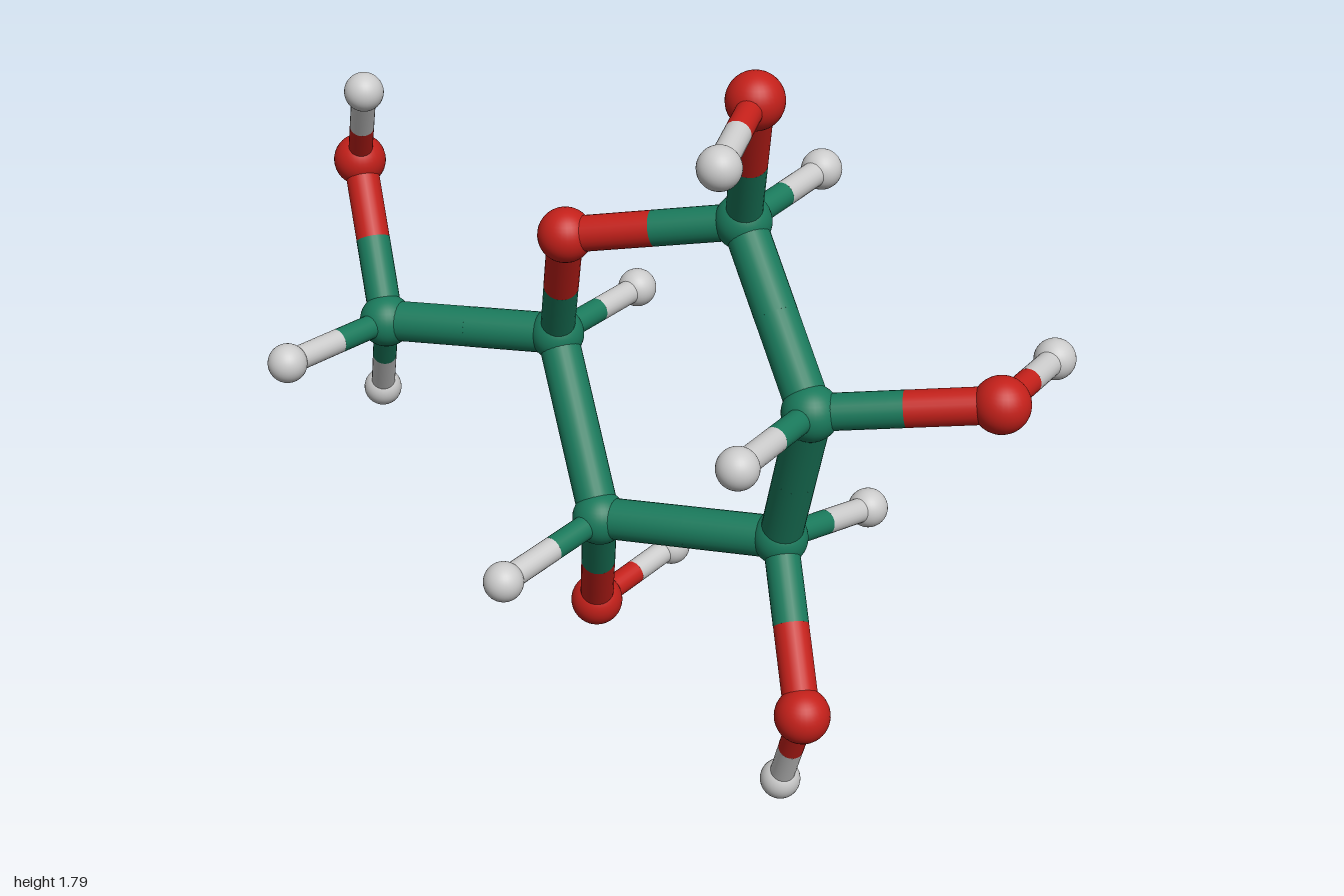
import * as THREE from 'three';

const KINDS = {
  C: { name: 'carbon', radius: 0.066, color: 0x1a7a5c },
  O: { name: 'oxygen', radius: 0.065, color: 0xc4201a },
  H: { name: 'hydrogen', radius: 0.048, color: 0xcccccc },
};

// Atom centres; the first letter of each key is the element
const ATOMS = {
  C1: [0.265, 1.36, -0.075], C2: [0.565, 1.03, 0.065], C3: [0.41, 0.61, -0.05],
  C4: [-0.035, 0.56, 0.075], C5: [-0.29, 0.92, -0.07], C6: [-0.72, 0.885, 0.085],
  O1: [0.41, 1.725, 0.085], O2: [0.93, 1.09, -0.13], O3: [0.63, 0.31, 0.15],
  O4: [-0.19, 0.195, -0.095], O5: [-0.125, 1.275, 0.085], O6: [-0.93, 1.22, -0.055],
  H1: [0.25, 1.385, -0.395], H2: [0.608, 1.037, 0.385], H3: [0.435, 0.56, -0.375],
  H4: [-0.05, 0.525, 0.405], H5: [-0.3, 0.93, -0.39],
  H6a: [-0.73, 0.885, 0.415], H6b: [-0.865, 0.61, -0.035],
  HO1: [0.52, 1.68, 0.35], HO2: [0.888, 1.08, -0.42], HO3: [0.52, 0.05, 0.075],
  HO4: [-0.18, 0.227, -0.385], HO6: [-0.795, 1.46, 0.052],
};

const BONDS = [
  // ring and side carbon
  'C1 C2', 'C2 C3', 'C3 C4', 'C4 C5', 'C5 C6', 'C5 O5', 'C1 O5',
  // hydroxyl groups
  'C1 O1', 'C2 O2', 'C3 O3', 'C4 O4', 'C6 O6',
  'O1 HO1', 'O2 HO2', 'O3 HO3', 'O4 HO4', 'O6 HO6',
  // hydrogens on carbon
  'C1 H1', 'C2 H2', 'C3 H3', 'C4 H4', 'C5 H5', 'C6 H6a', 'C6 H6b',
];

export function createModel() {
  const model = new THREE.Group();
  const materials = {};
  const balls = {};
  for (const [key, kind] of Object.entries(KINDS)) {
    materials[key] = new THREE.MeshStandardMaterial({ color: kind.color });
    balls[key] = new THREE.SphereGeometry(kind.radius, 32, 20);
  }

  // Atom balls
  const centre = {};
  for (const [id, p] of Object.entries(ATOMS)) {
    centre[id] = new THREE.Vector3(...p);
    const ball = new THREE.Mesh(balls[id[0]], materials[id[0]]);
    ball.name = KINDS[id[0]].name + 'Ball';
    ball.position.copy(centre[id]);
    model.add(ball);
  }

  // One half of a bond, in the colour of the atom it starts from
  const up = new THREE.Vector3(0, 1, 0);
  function halfBond(from, to, radius) {
    const a = centre[from];
    const span = centre[to].clone().sub(a);
    const length = span.length() / 2;
    const rod = new THREE.Mesh(
      new THREE.CylinderGeometry(radius, radius, length, 24), materials[from[0]]);
    rod.name = KINDS[from[0]].name + 'BondHalf';
    rod.position.copy(a).addScaledVector(span, 0.25);
    rod.quaternion.setFromUnitVectors(up, span.normalize());
    return rod;
  }

  // Bonds: thickest between carbons, thinnest to hydrogen
  for (const bond of BONDS) {
    const [a, b] = bond.split(' ');
    const radius = b[0] === 'H' ? 0.03 : b[0] === 'O' ? 0.042 : 0.05;
    const group = new THREE.Group();
    group.name = 'bond';
    group.add(halfBond(a, b, radius), halfBond(b, a, radius));
    model.add(group);
  }
  return model;
}
